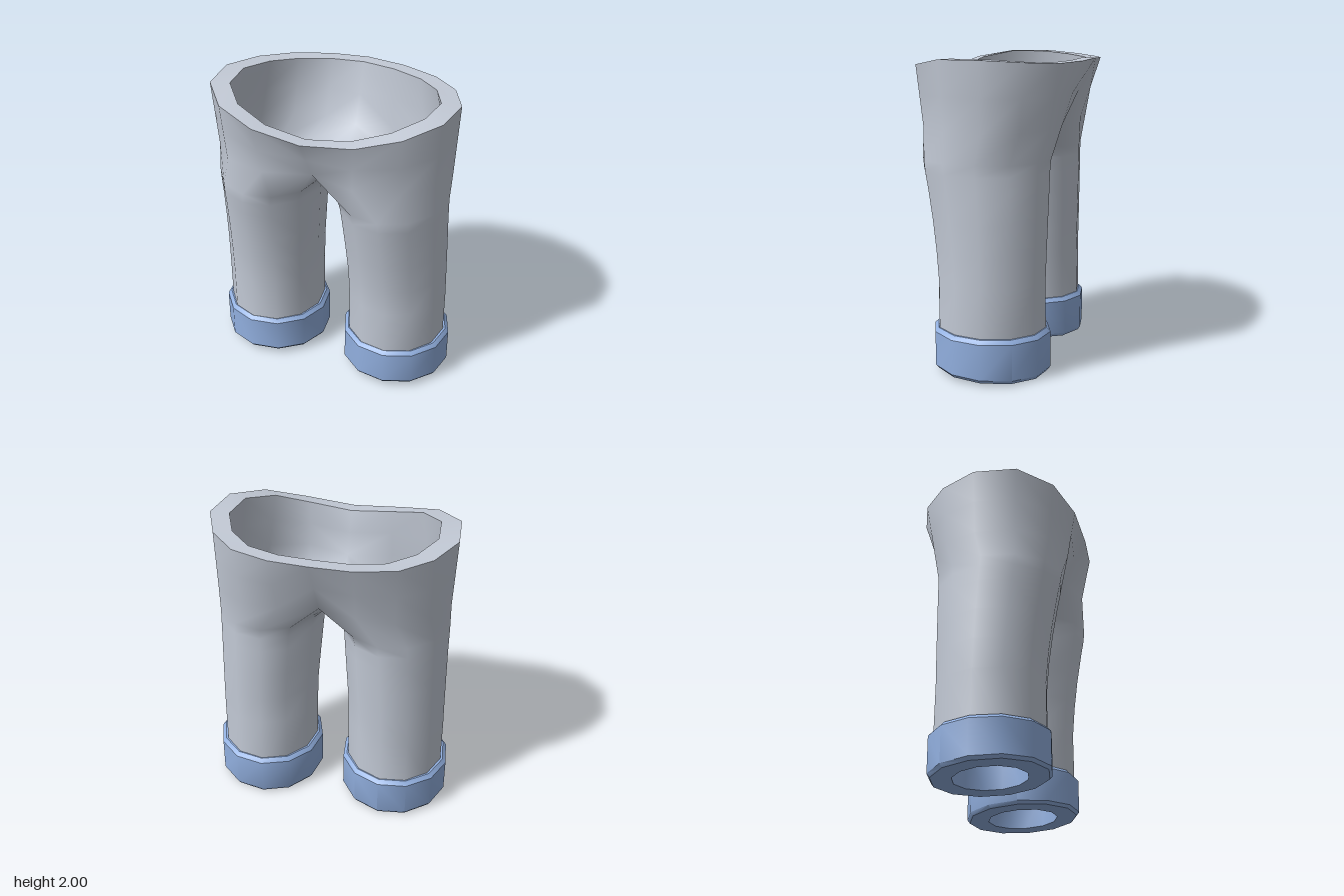
import * as THREE from 'three';
import { mergeVertices, toCreasedNormals } from 'three/addons/utils/BufferGeometryUtils.js';

const SIDES = 12;
const fabric = new THREE.MeshStandardMaterial({ color: 0xc3cad6 });
fabric.name = 'greyFabric';
const trim = new THREE.MeshStandardMaterial({ color: 0x92b0e0 });
trim.name = 'blueTrim';

// Angle of ring point k, running from inner front round the outside to the back
const angle = (k) => THREE.MathUtils.degToRad(114 - 30 * k);

// Oval ring spanning x0..x1 and z0..z1
function oval(y, x0, x1, z0, z1) {
  return Array.from({ length: SIDES }, (_, k) => [
    (x0 + x1) / 2 + Math.cos(angle(k)) * (x1 - x0) / 2, y,
    (z0 + z1) / 2 + Math.sin(angle(k)) * (z1 - z0) / 2]);
}

// Adds quads between two rings; flip turns the faces round
function strip(out, a, b, count, flip) {
  for (let k = 0; k < count; k++) {
    const n = (k + 1) % a.length;
    const quad = [a[k], a[n], b[n], a[k], b[n], b[k]];
    if (flip) quad.reverse();
    quad.forEach((p) => out.push(...p));
  }
}

const mirror = (ring) => ring.map(([x, y, z]) => [-x, y, z]);

function geometryOf(positions) {
  const g = new THREE.BufferGeometry();
  g.setAttribute('position', new THREE.Float32BufferAttribute(positions, 3));
  return g;
}

function smooth(positions) {
  const g = mergeVertices(geometryOf(positions), 1e-4);
  g.computeVertexNormals();
  return g;
}

// Leg levels: y, inner x, outer x, back z, front z
const LEG = [
  [0.2, 0.125, 0.79, -0.36, 0.35],
  [0.6, 0.12, 0.79, -0.355, 0.35],
  [0.8, 0.115, 0.786, -0.36, 0.368],
  [1.0, 0.10, 0.783, -0.365, 0.395],
  [1.2, 0.085, 0.78, -0.37, 0.43],
  [1.3, 0.077, 0.78, -0.372, 0.45],
  [1.37, 0.06, 0.78, -0.375, 0.46],
];

// Half ring at the hips, then the three points of the crotch seam
const HIP = [
  [0, 1.58, 0.39], [0.3, 1.58, 0.475], [0.58, 1.57, 0.4], [0.74, 1.56, 0.21], [0.78, 1.55, -0.04],
  [0.69, 1.56, -0.26], [0.49, 1.57, -0.39], [0.25, 1.58, -0.41], [0, 1.58, -0.35],
];
const CROTCH = [[0, 1.49, -0.2], [0, 1.43, 0.03], [0, 1.49, 0.26]];

// Half ring at the waist, dipping at the front
const WAIST = [
  [0, 1.865, 0.557], [0.33, 1.9, 0.537], [0.595, 1.96, 0.44], [0.77, 2, 0.23], [0.8, 2, -0.05],
  [0.69, 1.985, -0.29], [0.51, 1.975, -0.455], [0.26, 1.98, -0.54], [0, 1.987, -0.562],
];

const scaled = (ring, s) => ring.map(([x, y, z]) => [x * s, y, z * s]);
const midway = (a, b) => a.map((p, i) => p.map((v, j) => (v + b[i][j]) / 2));

// Both legs and the hips as one skin; the lining is the same skin, inset and turned inward
function skin(lining) {
  const inset = lining ? 0.012 : 0;
  const legs = LEG.map(([y, x0, x1, z0, z1]) => oval(y, x0 + inset, x1 - inset, z0 + inset, z1 - inset));
  const hip = scaled(HIP, lining ? 0.965 : 1);
  const crotch = CROTCH.map(([x, y, z]) => [x, y + inset * 2, z]);
  const middle = scaled(midway(HIP, WAIST), lining ? 0.9 : 1);
  const waist = scaled(WAIST, lining ? 0.84 : 1);
  const rings = [...legs, [...hip, ...crotch]];
  const out = [];
  for (const side of [1, -1]) {
    const put = (r) => (side > 0 ? r : mirror(r));
    const flip = (side < 0) !== lining;
    for (let i = 0; i + 1 < rings.length; i++) strip(out, put(rings[i]), put(rings[i + 1]), SIDES, flip);
    strip(out, put(hip), put(middle), 8, flip);
    strip(out, put(middle), put(waist), 8, flip);
  }
  return smooth(out);
}

// Flat band round the waist opening
function waistRim() {
  const out = [];
  const inner = scaled(WAIST, 0.84);
  strip(out, WAIST, inner, 8, false);
  strip(out, mirror(WAIST), mirror(inner), 8, true);
  return smooth(out);
}

// Thick bevelled ring, slightly raised at the front; profile is radius, y, tilt
function cuff(side) {
  const profile = [
    [0.228, 0, 0.018], [0.355, 0, 0.018], [0.372, 0.025, 0.015], [0.372, 0.262, 0.007],
    [0.348, 0.288, 0.006], [0.325, 0.288, 0.006], [0.228, 0.25, 0.006],
  ];
  const rings = profile.map(([r, y, tilt]) =>
    oval(0, 0.458 - r, 0.458 + r, -0.007 - r * 1.03, -0.007 + r * 1.03)
      .map(([x, , z]) => [side * x, y + tilt * (1 + z / 0.39), z]));
  const out = [];
  rings.forEach((ring, i) => strip(out, ring, rings[(i + 1) % rings.length], SIDES, side < 0));
  return toCreasedNormals(geometryOf(out), 0.62);
}

export function createModel() {
  const model = new THREE.Group();
  model.name = 'trousers';
  const add = (name, geometry, material) => {
    const mesh = new THREE.Mesh(geometry, material);
    mesh.name = name;
    model.add(mesh);
  };
  add('trouserShell', skin(false), fabric);
  add('lining', skin(true), fabric);
  add('waistRim', waistRim(), fabric);
  add('leftCuff', cuff(1), trim);
  add('rightCuff', cuff(-1), trim);
  return model;
}
